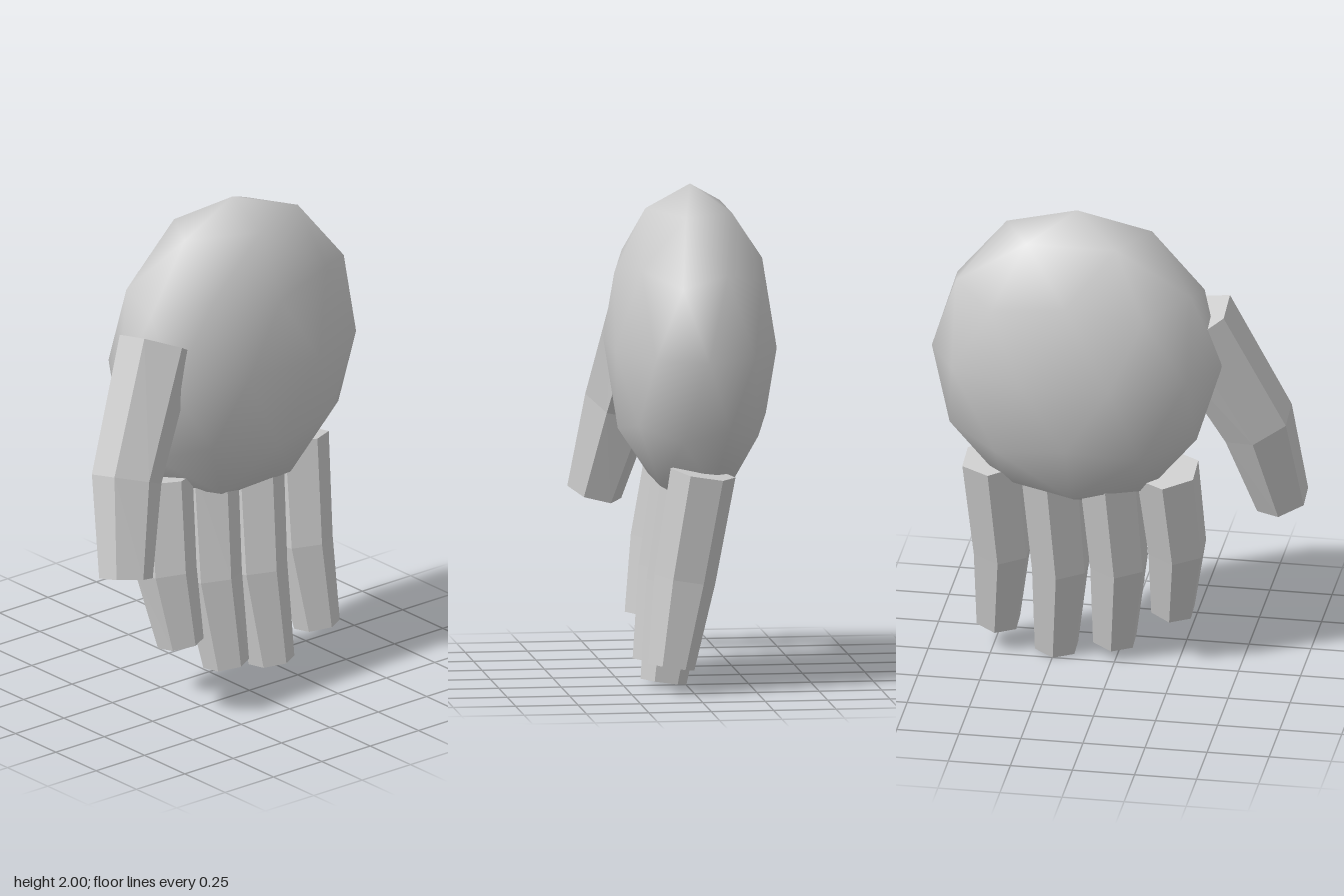
import * as THREE from 'three';
import { mergeVertices } from 'three/addons/utils/BufferGeometryUtils.js';

const SIDES = 6;

// Faceted six-sided digit through centres [x, y, z, radius], listed from knuckle to tip
function digitGeometry(stations) {
  const centres = stations.map(([x, y, z]) => new THREE.Vector3(x, y, z));
  const last = centres.length - 1;
  const rings = stations.map(([x, y, z, r], i) => {
    // Each ring lies in the plane square to the local axis
    const axis = centres[Math.min(i + 1, last)].clone().sub(centres[Math.max(i - 1, 0)]);
    return Array.from({ length: SIDES }, (_, k) => {
      const a = (k / SIDES) * Math.PI * 2;
      const dx = r * Math.cos(a), dz = r * Math.sin(a);
      return new THREE.Vector3(x + dx, y - (axis.x * dx + axis.z * dz) / axis.y, z + dz);
    });
  });

  const points = [];
  for (let k = 0; k < SIDES; k++) {
    const n = (k + 1) % SIDES;
    points.push(centres[0], rings[0][n], rings[0][k]);
    for (let i = 0; i < last; i++) {
      const top = rings[i], low = rings[i + 1];
      points.push(top[k], top[n], low[k], top[n], low[n], low[k]);
    }
    points.push(centres[last], rings[last][k], rings[last][n]);
  }
  const geometry = new THREE.BufferGeometry().setFromPoints(points);
  geometry.computeVertexNormals(); // unshared corners keep the facets flat
  return geometry;
}

// Smooth, low-poly ellipsoid with a vertex at each pole
function palmGeometry() {
  let geometry = new THREE.IcosahedronGeometry(1, 1);
  geometry.deleteAttribute('normal');
  geometry.deleteAttribute('uv');
  geometry = mergeVertices(geometry, 1e-3);
  geometry.rotateZ(-Math.atan(2 / (1 + Math.sqrt(5))));
  geometry.scale(0.34, 0.64, 0.585);
  geometry.translate(-0.03, 1.36, -0.145);
  geometry.computeVertexNormals();
  return geometry;
}

export function createModel() {
  const model = new THREE.Group();
  model.name = 'hand';
  const grey = new THREE.MeshStandardMaterial({ color: 0xcccccc });
  grey.name = 'light grey';

  const add = (name, geometry) => {
    const mesh = new THREE.Mesh(geometry, grey);
    mesh.name = name;
    model.add(mesh);
  };

  add('palm', palmGeometry());

  // Four fingers, evenly spaced, differing only in length
  const knuckleY = 0.887;
  const fingers = [
    ['indexFinger', 0.215],
    ['middleFinger', 0.065],
    ['ringFinger', 0.018],
    ['littleFinger', 0.11],
  ];
  fingers.forEach(([name, tipY], i) => {
    const z = 0.221 - i * 0.2345;
    add(name, digitGeometry([
      [-0.037, knuckleY, z, 0.13],
      [0.032, THREE.MathUtils.lerp(tipY, knuckleY, 0.45), z + 0.027, 0.122],
      [0.09, tipY, z, 0.092],
    ]));
  });

  add('thumb', digitGeometry([
    [0.055, 1.515, 0.312, 0.152],
    [0.155, 1.03, 0.555, 0.14],
    [0.248, 0.655, 0.636, 0.108],
  ]));

  return model;
}
